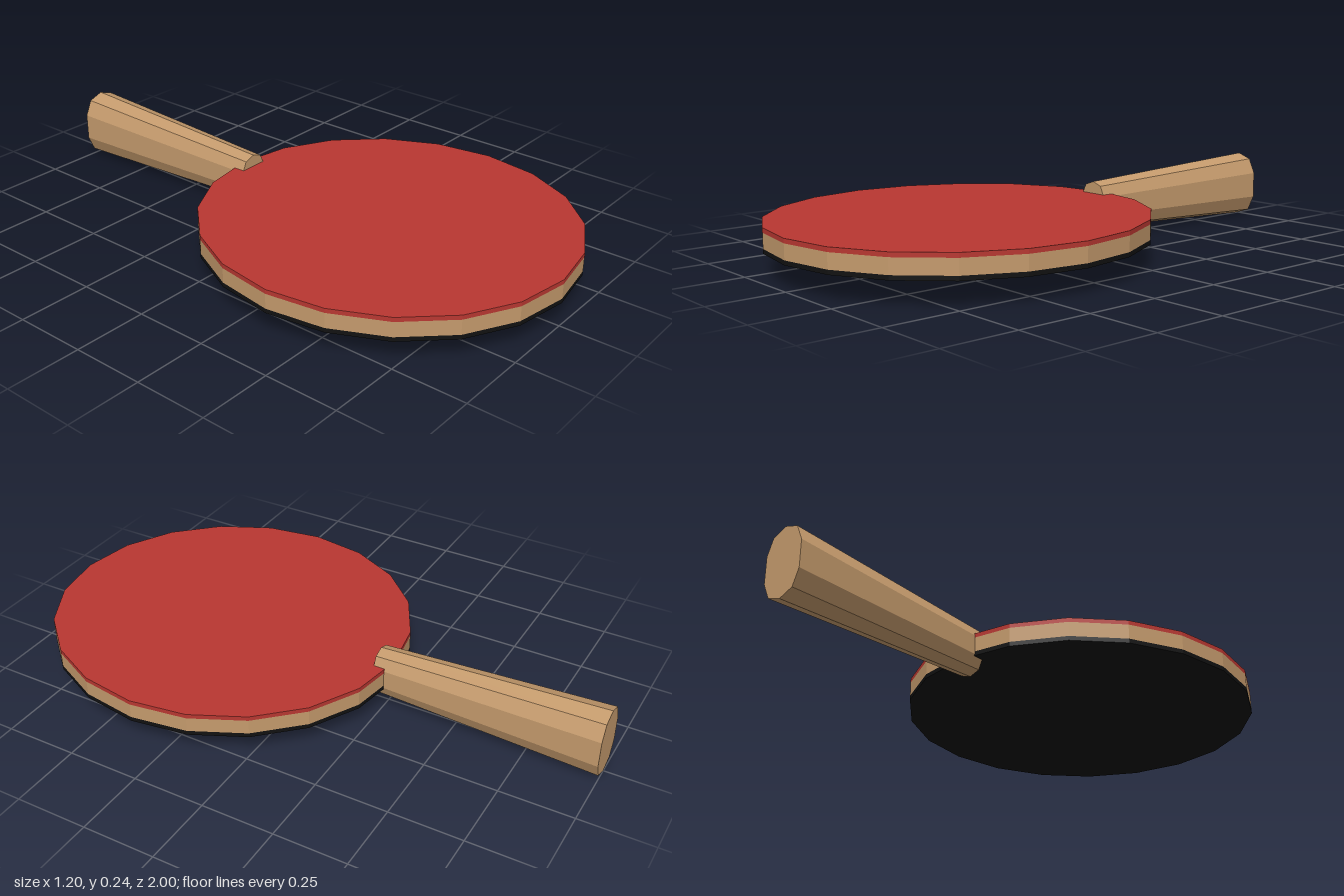
import * as THREE from 'three';

const WOOD = 0xc49a6c, RED = 0xb83731, BLACK = 0x111111;

function part(name, geometry, color) {
  const material = new THREE.MeshStandardMaterial({ color, flatShading: true });
  const mesh = new THREE.Mesh(geometry, material);
  mesh.name = name;
  return mesh;
}

// One oval layer of the blade between two heights
function layer(name, y0, y1, color) {
  const g = new THREE.CylinderGeometry(1, 1, y1 - y0, 20);
  g.scale(0.6, 1, 0.632);
  g.translate(0, (y0 + y1) / 2, 0.368);
  return part(name, g, color);
}

// Ten-sided grip with a squarish oval section, flaring toward the butt
function handle() {
  const zFront = -0.215, zBack = -1, midY = 0.118;
  const g = new THREE.CylinderGeometry(1, 1, 1, 10);
  g.rotateX(Math.PI / 2);
  const p = g.attributes.position;
  const bulge = (v) => (Math.abs(v) < 1e-6 ? 0 : Math.sign(v) * Math.abs(v) ** 0.8);
  for (let i = 0; i < p.count; i++) {
    const t = 0.5 - p.getZ(i); // 0 at the blade, 1 at the butt
    const rx = THREE.MathUtils.lerp(0.057, 0.08, t);
    const ry = THREE.MathUtils.lerp(0.083, 0.118, t);
    p.setXYZ(i, rx * bulge(p.getX(i)), midY + ry * bulge(p.getY(i)),
      THREE.MathUtils.lerp(zFront, zBack, t));
  }
  g.computeVertexNormals();
  return part('handle', g, WOOD);
}

export function createModel() {
  const model = new THREE.Group();
  model.name = 'tableTennisBat';
  model.add(
    layer('blackRubber', 0.079, 0.094, BLACK),
    layer('woodenBlade', 0.094, 0.144, WOOD),
    layer('redRubber', 0.144, 0.159, RED),
    handle(),
  );
  return model;
}
